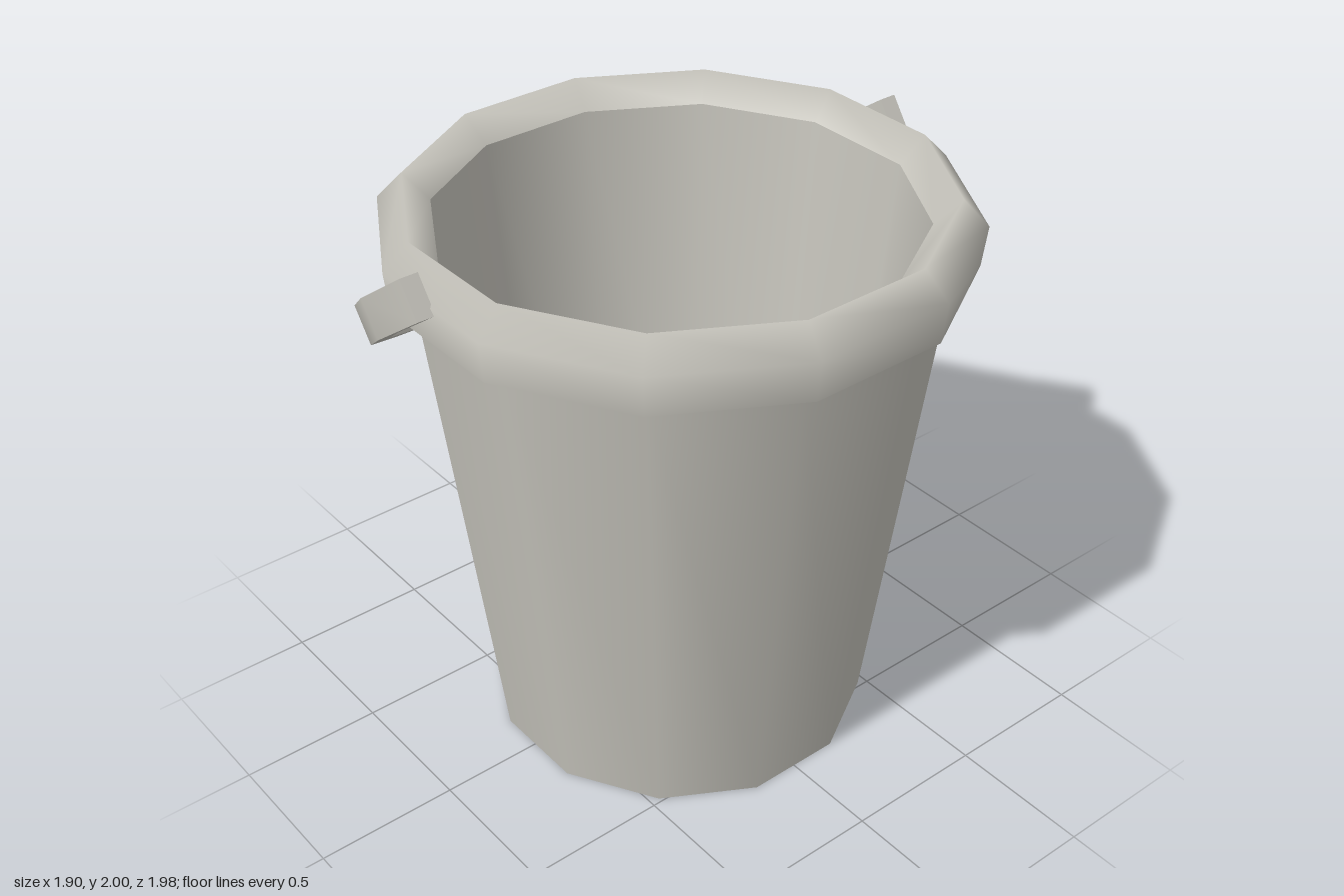
import * as THREE from 'three';
import { toCreasedNormals } from 'three/addons/utils/BufferGeometryUtils.js';

const SIDES = 12;

export function createModel() {
  const grey = new THREE.MeshStandardMaterial({ color: 0xc5c3bb });
  grey.name = 'warm grey';
  const model = new THREE.Group();
  model.name = 'bucket';

  const add = (name, geometry, parent) => {
    const mesh = new THREE.Mesh(geometry, grey);
    mesh.name = name;
    parent.add(mesh);
    return mesh;
  };

  // Twelve-sided lathe; profile distances are measured to the flat sides
  const ring = (profile) => new THREE.LatheGeometry(
    profile.map(([r, y]) => new THREE.Vector2(r / Math.cos(Math.PI / SIDES), y)),
    SIDES, Math.PI / SIDES);

  const pail = new THREE.Group();
  pail.name = 'pail';
  pail.position.x = 0.018;
  model.add(pail);

  // Tapered body, separate pieces keep the hard edges
  add('base', ring([[0, 0], [0.638, 0]]), pail);
  add('outerWall', ring([[0.638, 0], [0.845, 1.77]]), pail);
  add('rimUnderside', ring([[0.845, 1.77], [0.918, 1.77]]), pail);
  add('rim', ring([[0.918, 1.77], [0.933, 1.91], [0.85, 2], [0.766, 1.91]]), pail);
  add('innerWall', ring([[0.766, 1.91], [0.58, 0.06]]), pail);
  add('floor', ring([[0.58, 0.06], [0, 0.06]]), pail);

  // Handle: flat U-shaped band with a faceted arc and short straight ends
  const arc = (radius) => {
    const points = [[radius * Math.cos(Math.PI / 18), 0]];
    for (let a = 10; a <= 170; a += 20) {
      const t = THREE.MathUtils.degToRad(a);
      points.push([radius * Math.cos(t), 0.12 + radius * Math.sin(t)]);
    }
    points.push([-points[0][0], 0]);
    return points.map(([x, y]) => new THREE.Vector2(x, y));
  };
  const band = new THREE.Shape([...arc(1.004), ...arc(0.939).reverse()]);
  const handleGeometry = toCreasedNormals(
    new THREE.ExtrudeGeometry(band, { depth: 0.136, bevelEnabled: false }), 0.6);

  // Lean the handle down towards the right-hand side
  const across = new THREE.Vector3(0, 0, 1);
  const along = new THREE.Vector3(-0.81, -0.587, 0).normalize();
  const width = new THREE.Vector3().crossVectors(across, along);
  handleGeometry.applyMatrix4(
    new THREE.Matrix4().makeBasis(across, along, width).setPosition(-0.04, 2, 0));
  add('handle', handleGeometry, model);

  return model;
}
